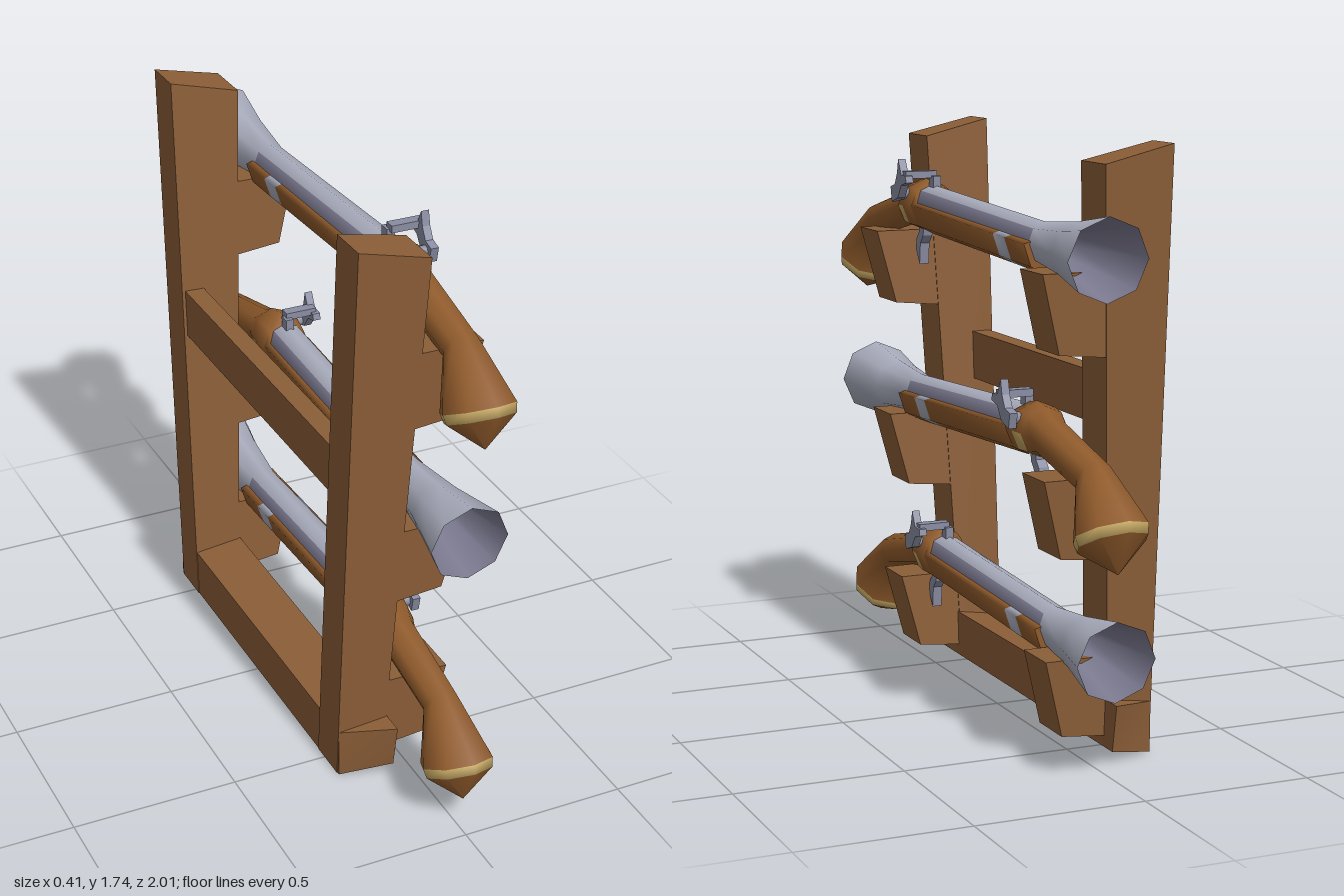
import * as THREE from 'three';

const mat = (name, color) => {
  const m = new THREE.MeshStandardMaterial({ color });
  m.name = name;
  return m;
};

export function createModel() {
  const rackWood = mat('rackWood', 0x8b5e38);
  const stockWood = mat('stockWood', 0x8f5a2b);
  const metal = mat('metal', 0xaaadbd);
  const darkMetal = mat('darkMetal', 0x7c7a90);
  const steel = mat('steel', 0x8a8da2);
  const brass = mat('brass', 0xc2a561);
  const model = new THREE.Group();
  model.name = 'weaponRack';

  const add = (parent, name, geometry, material) => {
    const mesh = new THREE.Mesh(geometry, material);
    mesh.name = name;
    parent.add(mesh);
    return mesh;
  };

  // Box whose corners are placed by a rule: u, v, w are 0 or 1 along x, y, z
  const block = (rule) => {
    const g = new THREE.BoxGeometry(1, 1, 1);
    const p = g.attributes.position;
    for (let i = 0; i < p.count; i++) {
      p.setXYZ(i, ...rule(p.getX(i) + 0.5, p.getY(i) + 0.5, p.getZ(i) + 0.5));
    }
    g.computeVertexNormals();
    return g;
  };

  // Skin through eight-sided rings running towards -z
  // ring: [z, y, halfWidth, halfHeight, tilt, topFlattening]
  const SIDES = 8;
  const loft = (rings, materialIndex) => {
    const pos = [], index = [];
    const g = new THREE.BufferGeometry();
    for (const [z, y, w, h, tilt = 0, top = 1] of rings) {
      for (let j = 0; j < SIDES; j++) {
        const a = (j / SIDES) * Math.PI * 2;
        const s = Math.sin(a);
        const v = h * s * (s > 0 ? top : 1);
        pos.push(w * Math.cos(a), y + v * Math.cos(tilt), z + v * Math.sin(tilt));
      }
    }
    for (let i = 0; i < rings.length - 1; i++) {
      for (let j = 0; j < SIDES; j++) {
        const a = i * SIDES + j, b = i * SIDES + ((j + 1) % SIDES);
        g.addGroup(index.length, 6, materialIndex(i, j));
        index.push(a, a + SIDES, b, b, a + SIDES, b + SIDES);
      }
    }
    g.setAttribute('position', new THREE.Float32BufferAttribute(pos, 3));
    g.setIndex(index);
    g.computeVertexNormals();
    return g;
  };

  // Flat plate cut in the z-y plane, centred on x = 0
  const plate = (points, depth) => {
    const shape = new THREE.Shape(points.map(([z, y]) => new THREE.Vector2(z, y)));
    const g = new THREE.ExtrudeGeometry(shape, { depth, bevelEnabled: false });
    return g.translate(0, 0, -depth / 2).rotateY(-Math.PI / 2);
  };

  // Rack: leaning posts with sloped fronts
  const frontX = (y) => -0.07 + (y - 0.04) * 0.0424;
  const postZ = (y, side) => side * (0.53 + y * 0.066) - 0.01;
  for (const side of [1, -1]) {
    add(model, side > 0 ? 'frontPost' : 'backPost', block((u, v, w) => {
      const y = v ? (u ? 1.69 : 1.74) : (u ? 0.04 : 0);
      return [u ? frontX(y) : -0.21, y, postZ(y, side) + (w - 0.5) * (u ? 0.155 : 0.13)];
    }), rackWood);

    // Support brackets, one for each level
    for (const b of [1.165, 0.59, 0.07]) {
      add(model, 'bracket', block((u, v, w) => {
        const y = v ? b + 0.235 : b + (u ? 0.01 : -0.005);
        const x = frontX(y) + (u ? (v ? 0.187 : 0.14) : -0.02);
        return [x, y, postZ(y, side) + (w - 0.5) * 0.15];
      }), rackWood);
    }
  }

  // Bottom beam, wider at its front than at its back
  add(model, 'baseBeam', block((u, v, w) => [
    u ? -0.06 : -0.208,
    v ? (u ? 0.175 : 0.15) : (u ? 0.035 : 0),
    (w - 0.5) * 2 * (u ? (v ? 0.69 : 0.665) : 0.605) - 0.01,
  ]), rackWood);
  add(model, 'middleRail', block((u, v, w) => [
    u ? -0.14 : -0.2, v ? 1.07 : 0.92, (w - 0.5) * 1.14 - 0.01,
  ]), rackWood);

  // Flared long gun with its muzzle towards -z; lockSide is the x side of the hammer
  const makeGun = (lockSide) => {
    const gun = new THREE.Group();
    gun.name = 'flaredGun';

    // Stock from butt tip to fore end: brass butt ring, trigger collar and metal barrel band
    const stockRings = [
      [0.885, 1.185, 0, 0, 1.1],
      [0.85, 1.264, 0.1, 0.113, 1.1],
      [0.838, 1.29, 0.106, 0.121, 1.1],
      [0.735, 1.42, 0.055, 0.054, 0.5],
      [0.45, 1.485, 0.06, 0.055, 0.15],
      [0.41, 1.493, 0.074, 0.074],
      [0.36, 1.495, 0.08, 0.08],
      [0.31, 1.49, 0.075, 0.075],
      [0.3, 1.5, 0.073, 0.09, 0, 0.1],
      [-0.32, 1.473, 0.073, 0.09, 0, 0.1],
      [-0.4, 1.469, 0.073, 0.09, 0, 0.1],
      [-0.535, 1.464, 0.073, 0.09, 0, 0.1],
      [-0.535, 1.464, 0.073, 0.09, 0, 0.1],
      [-0.535, 1.45, 0, 0],
    ];
    add(gun, 'stock', loft(stockRings, (i, j) => {
      if (i === 1 || (i === 5 && j >= 4)) return 1;
      return i === 9 ? 2 : 0;
    }), [stockWood, brass, metal]);

    // Barrel with dark side flats, flared muzzle and hollow bore
    const barrelRings = [
      [0.32, 1.503, 0, 0],
      [0.32, 1.503, 0.056, 0.057],
      [0.32, 1.503, 0.056, 0.057],
      [-0.52, 1.461, 0.054, 0.06],
      [-0.72, 1.458, 0.079, 0.081],
      [-0.915, 1.455, 0.118, 0.116, -0.06],
      [-0.915, 1.455, 0.118, 0.116, -0.06],
      [-0.62, 1.458, 0.045, 0.045],
      [-0.6, 1.458, 0, 0],
    ];
    add(gun, 'barrel', loft(barrelRings, (i, j) =>
      i >= 6 || (i === 2 && (j === 0 || j === 3)) ? 1 : 0), [metal, darkMetal]);

    // Flintlock: hooked hammer, jaw arm and pivot
    add(gun, 'hammer', plate([
      [0.4, 1.55], [0.39, 1.505], [0.34, 1.52], [0.31, 1.56], [0.27, 1.57],
      [0.275, 1.59], [0.31, 1.592], [0.335, 1.638], [0.345, 1.595], [0.365, 1.56],
    ], 0.024).translate(lockSide * 0.09, 0, 0), steel);
    add(gun, 'hammerJaw', new THREE.BoxGeometry(0.1, 0.022, 0.035)
      .translate(lockSide * 0.045, 1.592, 0.305), steel);
    add(gun, 'hammerPivot', new THREE.CylinderGeometry(0.018, 0.018, 0.05, 8)
      .rotateZ(Math.PI / 2).translate(lockSide * 0.072, 1.53, 0.365), steel);
    add(gun, 'rearSight', new THREE.BoxGeometry(0.025, 0.04, 0.035)
      .translate(0, 1.568, 0.29), steel);

    // Curved trigger
    add(gun, 'trigger', plate([
      [0.345, 1.44], [0.352, 1.4], [0.375, 1.375], [0.382, 1.31],
      [0.412, 1.355], [0.405, 1.39], [0.385, 1.41], [0.385, 1.44],
    ], 0.03), steel);
    return gun;
  };

  // Three guns, the middle one facing the other way
  const levels = [
    { lock: 1, position: [0.08, 0, 0], turn: 0 },
    { lock: -1, position: [0.055, -0.57, -0.05], turn: Math.PI },
    { lock: 1, position: [0.02, -1.105, 0.055], turn: 0 },
  ];
  for (const { lock, position, turn } of levels) {
    const gun = makeGun(lock);
    gun.position.set(...position);
    gun.rotation.y = turn;
    model.add(gun);
  }
  return model;
}
